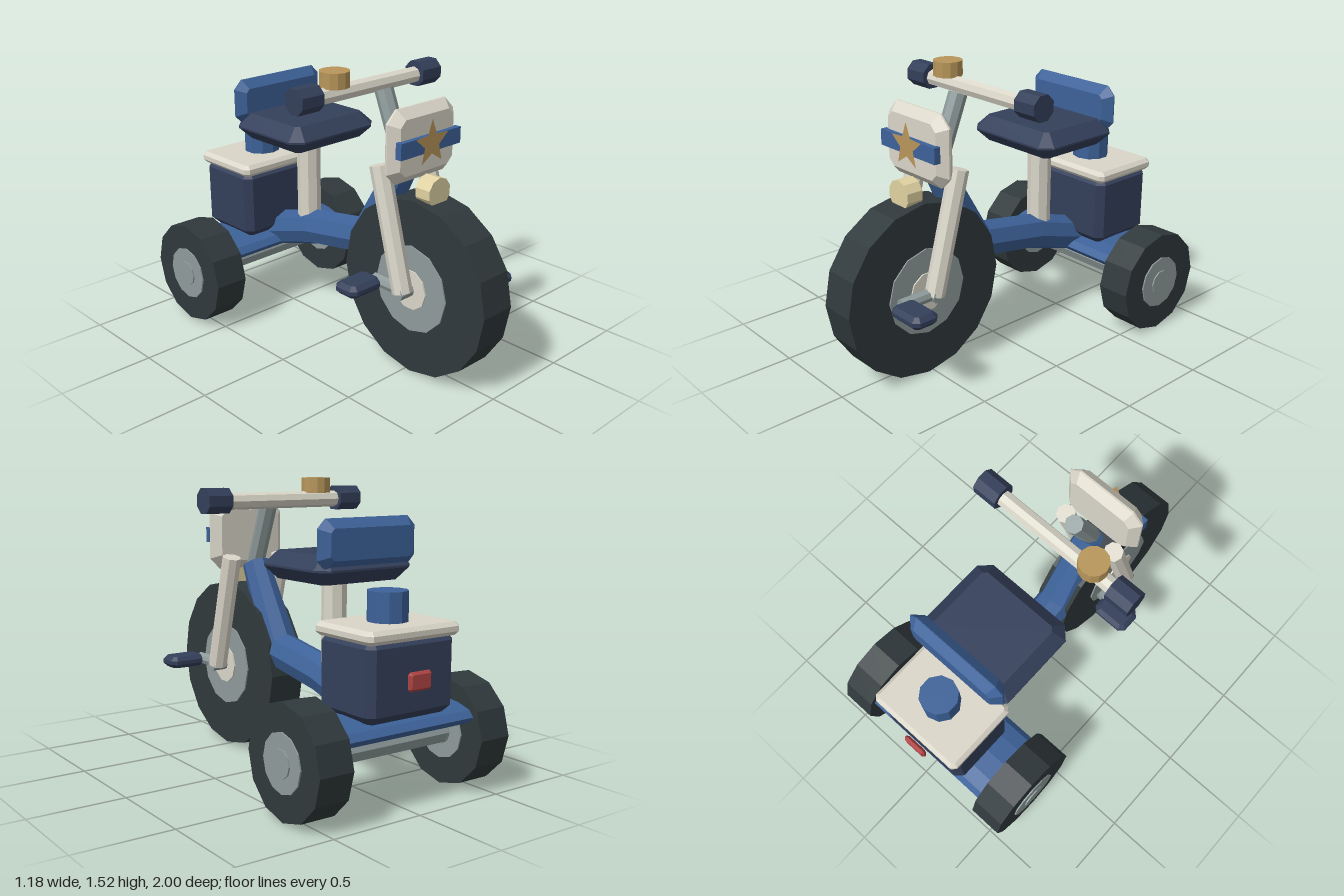
import * as THREE from 'three';

const mat = (color, extra = {}) => new THREE.MeshStandardMaterial({ color, flatShading: true, ...extra });
const M = {
  tire: mat(0x30393c), navy: mat(0x333f5a), blue: mat(0x3d6299), cream: mat(0xdad6c9),
  grey: mat(0x8f9b9b), gold: mat(0xb8965a), lamp: mat(0xe0d2a2), red: mat(0xb04444),
};

export function createModel() {
  const model = new THREE.Group();

  const add = (name, geometry, material, x = 0, y = 0, z = 0) => {
    const mesh = new THREE.Mesh(geometry, material);
    mesh.name = name;
    mesh.position.set(x, y, z);
    model.add(mesh);
    return mesh;
  };

  // cylinders along each axis
  const cylY = (r, len, n) => new THREE.CylinderGeometry(r, r, len, n);
  const cylX = (r, len, n) => cylY(r, len, n).rotateZ(Math.PI / 2);
  const cylZ = (r, len, n) => cylY(r, len, n).rotateX(Math.PI / 2);

  // straight rod between two points
  const rod = (name, a, b, r, n, material) => {
    const p = new THREE.Vector3(...a), q = new THREE.Vector3(...b);
    const d = q.clone().sub(p);
    const mesh = add(name, cylY(r, d.length(), n), material);
    mesh.position.copy(p).add(q).multiplyScalar(0.5);
    mesh.quaternion.setFromUnitVectors(new THREE.Vector3(0, 1, 0), d.normalize());
    return mesh;
  };

  // chamfered plate facing +z, with cut corners
  const plate = (w, h, t, bevel, cut) => {
    const a = w / 2 - bevel, b = h / 2 - bevel;
    const s = new THREE.Shape([
      [a - cut, -b], [a, -b + cut], [a, b - cut], [a - cut, b],
      [-a + cut, b], [-a, b - cut], [-a, -b + cut], [-a + cut, -b],
    ].map(([x, y]) => new THREE.Vector2(x, y)));
    const depth = t - 2 * bevel;
    return new THREE.ExtrudeGeometry(s, {
      depth, bevelEnabled: true, bevelThickness: bevel, bevelSize: bevel, bevelSegments: 1,
    }).translate(0, 0, -depth / 2);
  };
  // the same plate lying flat: width x, height y, depth z
  const slab = (w, h, d, bevel, cut) => plate(w, d, h, bevel, cut).rotateX(-Math.PI / 2);

  // front wheel
  add('frontTire', cylX(0.467, 0.2, 16), M.tire, 0, 0.467, 0.53);
  add('frontHub', cylX(0.232, 0.215, 12), M.grey, 0, 0.467, 0.53);
  add('frontHubCap', cylX(0.108, 0.23, 10), M.cream, 0, 0.467, 0.53);
  add('pedalAxle', cylX(0.035, 0.4, 8), M.grey, 0, 0.467, 0.53);

  // fork legs, cranks, pedals, rear wheels and grips, one per side
  for (const s of [1, -1]) {
    rod('forkLeg', [s * 0.16, 0.465, 0.528], [s * 0.16, 1.09, 0.363], 0.052, 8, M.cream);
    add('crank', cylZ(0.033, 0.2, 8), M.grey, s * 0.153, 0.472, 0.53 + s * 0.1);
    add('pedal', slab(0.215, 0.065, 0.15, 0.022, 0.015), M.navy, s * 0.265, 0.47, 0.53 + s * 0.205);
    add('rearTire', cylX(0.28, 0.185, 12), M.tire, s * 0.483, 0.282, -0.72);
    add('rearHub', cylX(0.145, 0.2, 12), M.grey, s * 0.483, 0.282, -0.72);
    add('rearHubCap', cylX(0.07, 0.215, 10), M.grey, s * 0.483, 0.282, -0.72);
    add('handleGrip', cylX(0.069, 0.137, 8).rotateX(Math.PI / 8), M.navy, s * 0.412, 1.41, 0.11);
  }

  // steering
  rod('steeringStem', [0, 1.03, 0.38], [0, 1.41, 0.228], 0.048, 8, M.grey);
  add('handlebar', cylX(0.043, 0.7, 8), M.cream, 0, 1.405, 0.11);
  add('bell', cylY(0.077, 0.08, 12), M.gold, -0.22, 1.48, 0.11);

  // front shield with stripe, star and headlight
  add('frontShield', plate(0.46, 0.37, 0.1, 0.045, 0.035), M.cream, 0, 1.203, 0.472);
  add('shieldStripe', new THREE.BoxGeometry(0.42, 0.082, 0.035), M.blue, 0, 1.205, 0.532);
  const star = new THREE.Shape(Array.from({ length: 10 }, (_, i) => {
    const r = i % 2 ? 0.052 : 0.12, a = Math.PI / 2 + i * Math.PI / 5;
    return new THREE.Vector2(r * Math.cos(a), r * Math.sin(a));
  }));
  add('shieldStar', new THREE.ShapeGeometry(star), mat(0xb8965a, { side: THREE.DoubleSide }), 0, 1.208, 0.553);
  add('headlight', cylZ(0.077, 0.09, 10), M.lamp, 0, 0.97, 0.565);

  // bent frame tube: cylinder rows moved onto a mitred path of [y, z, radius]
  const path = [[1.05, 0.37, 0.075], [0.6, 0.134, 0.1], [0.53, -0.28, 0.1], [0.395, -0.72, 0.1]];
  const steps = path.length - 1;
  const normalOf = (i) => {
    const [a, b] = [path[i], path[i + 1]];
    const t = new THREE.Vector2(b[0] - a[0], b[1] - a[1]).normalize();
    return new THREE.Vector2(t.y, -t.x);
  };
  const miters = path.map((_, i) => {
    const n0 = normalOf(Math.max(i - 1, 0)), n1 = normalOf(Math.min(i, steps - 1));
    const m = n0.clone().add(n1).normalize();
    return m.divideScalar(m.dot(n0));
  });
  const frame = new THREE.CylinderGeometry(1, 1, 1, 8, steps);
  const pos = frame.attributes.position;
  for (let v = 0; v < pos.count; v++) {
    const i = Math.round((0.5 - pos.getY(v)) * steps);
    const [y, z, r] = path[i], k = pos.getZ(v) * r;
    pos.setXYZ(v, pos.getX(v) * r, y + miters[i].x * k, z + miters[i].y * k);
  }
  frame.computeVertexNormals();
  add('frameTube', frame, M.blue);

  // rear axle and flattened rear beam
  add('rearAxle', cylX(0.07, 0.8, 8), M.grey, 0, 0.282, -0.72);
  add('rearBeam', cylX(0.215, 0.79, 12).scale(1, 0.3, 1), M.blue, 0, 0.39, -0.725);

  // seat
  add('seatPost', cylY(0.064, 0.52, 8), M.cream, 0, 0.8, -0.342);
  add('seat', slab(0.59, 0.14, 0.53, 0.065, 0.02), M.navy, 0, 1.105, -0.362);
  add('backrest', plate(0.59, 0.24, 0.095, 0.045, 0.02), M.blue, 0, 1.23, -0.595);

  // rear trunk
  add('trunk', slab(0.53, 0.39, 0.39, 0.04, 0.015), M.navy, 0, 0.635, -0.75);
  add('trunkLid', slab(0.56, 0.065, 0.42, 0.02, 0.012), M.cream, 0, 0.842, -0.75);
  add('canister', cylY(0.1, 0.15, 10), M.blue, 0, 0.945, -0.75);
  add('tailLight', plate(0.135, 0.09, 0.03, 0.012, 0.004), M.red, 0, 0.63, -0.978);

  return model;
}
